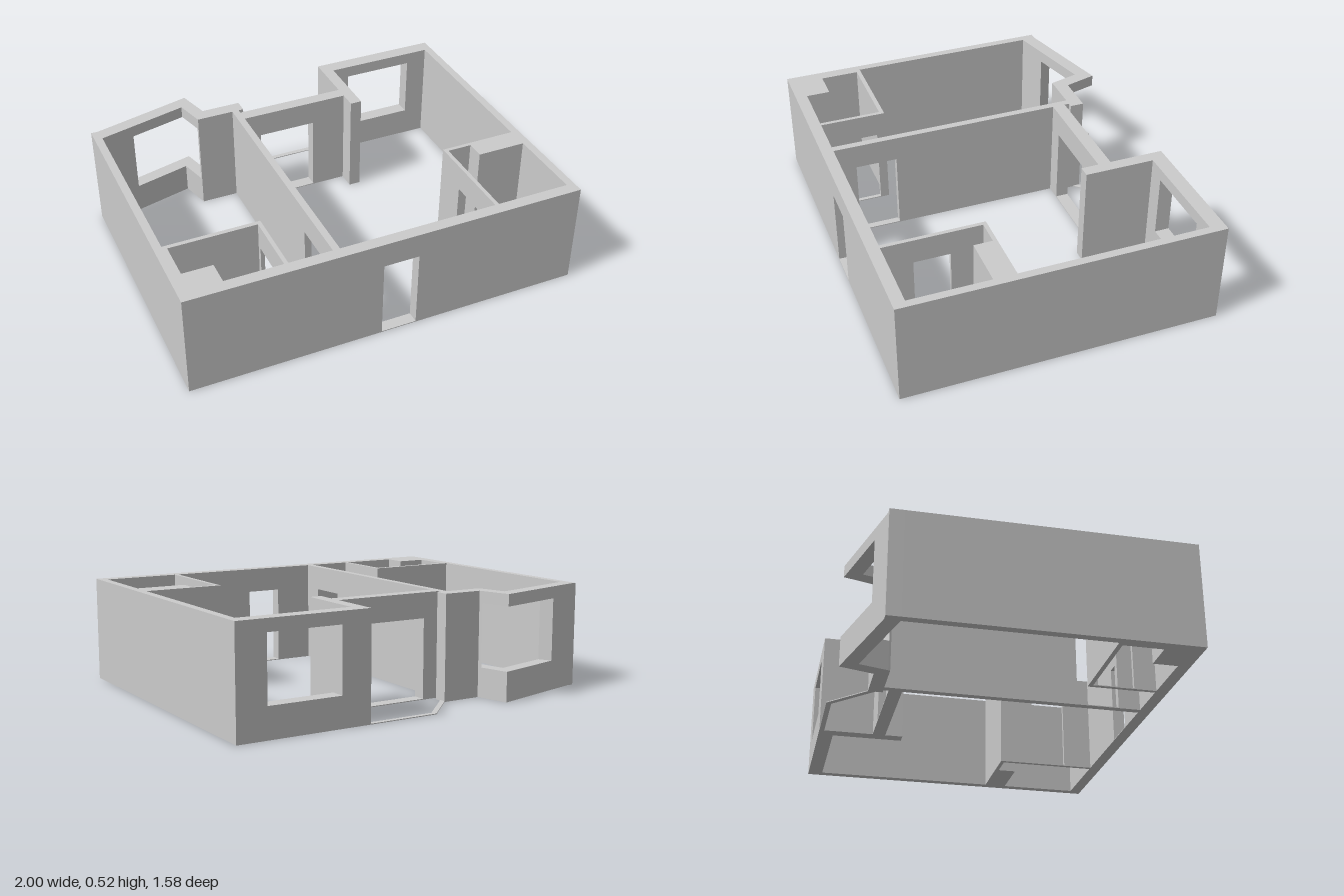
import * as THREE from 'three';

const H = 0.525;                 // wall height
const SILL = 0.004;              // thin threshold under doors
const DOOR = [SILL, 0.4];        // door bottom and top
const WINDOW = [0.15, 0.465];    // window bottom and top

export function createModel() {
  const model = new THREE.Group();
  const material = new THREE.MeshStandardMaterial({ color: 0xcccccc, flatShading: true });

  function add(name, geometry) {
    const mesh = new THREE.Mesh(geometry, material);
    mesh.name = name;
    model.add(mesh);
  }

  // Straight wall over a plan rectangle, with an optional opening [from, to, [bottom, top]] along its length
  function wall(name, x0, x1, z0, z1, opening) {
    const alongX = x1 - x0 > z1 - z0;
    const [a, b, t] = alongX ? [x0, x1, z1 - z0] : [z0, z1, x1 - x0];
    const shape = new THREE.Shape([[a, 0], [b, 0], [b, H], [a, H]].map(p => new THREE.Vector2(...p)));
    if (opening) {
      const [from, to, [low, high]] = opening;
      shape.holes.push(new THREE.Path(
        [[from, low], [from, high], [to, high], [to, low]].map(p => new THREE.Vector2(...p))));
    }
    const geometry = new THREE.ExtrudeGeometry(shape, { depth: t, bevelEnabled: false });
    if (alongX) geometry.translate(0, 0, z0);
    else geometry.rotateY(-Math.PI / 2).translate(x1, 0, 0);
    add(name, geometry);
  }

  // Upright prism over a plan outline of [x, z] corners
  function prism(name, corners, y0 = 0, y1 = H) {
    const shape = new THREE.Shape(corners.map(([x, z]) => new THREE.Vector2(x, -z)));
    const geometry = new THREE.ExtrudeGeometry(shape, { depth: y1 - y0, bevelEnabled: false });
    add(name, geometry.rotateX(-Math.PI / 2).translate(0, y0, 0));
  }

  // Outer walls
  wall('frontWall', -1, 1, 0.73, 0.79, [-0.04, 0.14, DOOR]);
  wall('leftWall', 0.96, 1, -0.715, 0.73);
  wall('rightWall', -1, -0.96, -0.57, 0.73);
  wall('backWall', 0.33, 1, -0.79, -0.715, [0.48, 0.85, WINDOW]);
  wall('balconySideWall', 0.33, 0.39, -0.715, -0.36);
  wall('balconyDoorWall', -0.235, 0.33, -0.515, -0.45, [-0.15, 0.15, DOOR]);

  // Slanted bay: solid ends with a window wrapping its corner
  prism('bayEndWall', [[-1, -0.57], [-1, -0.64], [-0.965, -0.64], [-0.82, -0.678], [-0.79, -0.614], [-0.96, -0.57]]);
  prism('bayReturnWall', [[-0.46, -0.54], [-0.463, -0.55], [-0.415, -0.628], [-0.41, -0.61],
    [-0.21, -0.61], [-0.21, -0.54]]);
  const bayCorner = [[-0.82, -0.678], [-0.455, -0.775], [-0.415, -0.628],
    [-0.463, -0.55], [-0.5, -0.69], [-0.79, -0.614]];
  prism('bayWindowSill', bayCorner, 0, WINDOW[0]);
  prism('bayWindowLintel', bayCorner, WINDOW[1], H);

  // Partition between the two halves
  wall('partition', -0.27, -0.235, -0.54, 0.73, [0.41, 0.62, DOOR]);

  // Small room on the right side
  wall('rightRoomBackWall', -0.96, -0.485, 0.395, 0.417);
  wall('rightRoomSideWall', -0.505, -0.485, 0.417, 0.73, [0.44, 0.62, DOOR]);
  wall('rightRoomLining', -0.96, -0.94, 0.417, 0.61);
  wall('rightRoomShaft', -0.96, -0.79, 0.61, 0.73);

  // Small room on the left side
  wall('leftRoomBackWall', 0.565, 0.71, 0.222, 0.242);
  wall('leftRoomSideWall', 0.565, 0.585, 0.242, 0.73, [0.4, 0.58, DOOR]);
  wall('leftRoomShaft', 0.71, 0.96, 0.222, 0.335);

  // Thin kerb around the balcony
  prism('balconyKerb', [[-0.21, -0.61], [-0.03, -0.79], [0.33, -0.79], [0.33, -0.765],
    [-0.02, -0.765], [-0.21, -0.575]], 0, SILL);

  return model;
}
